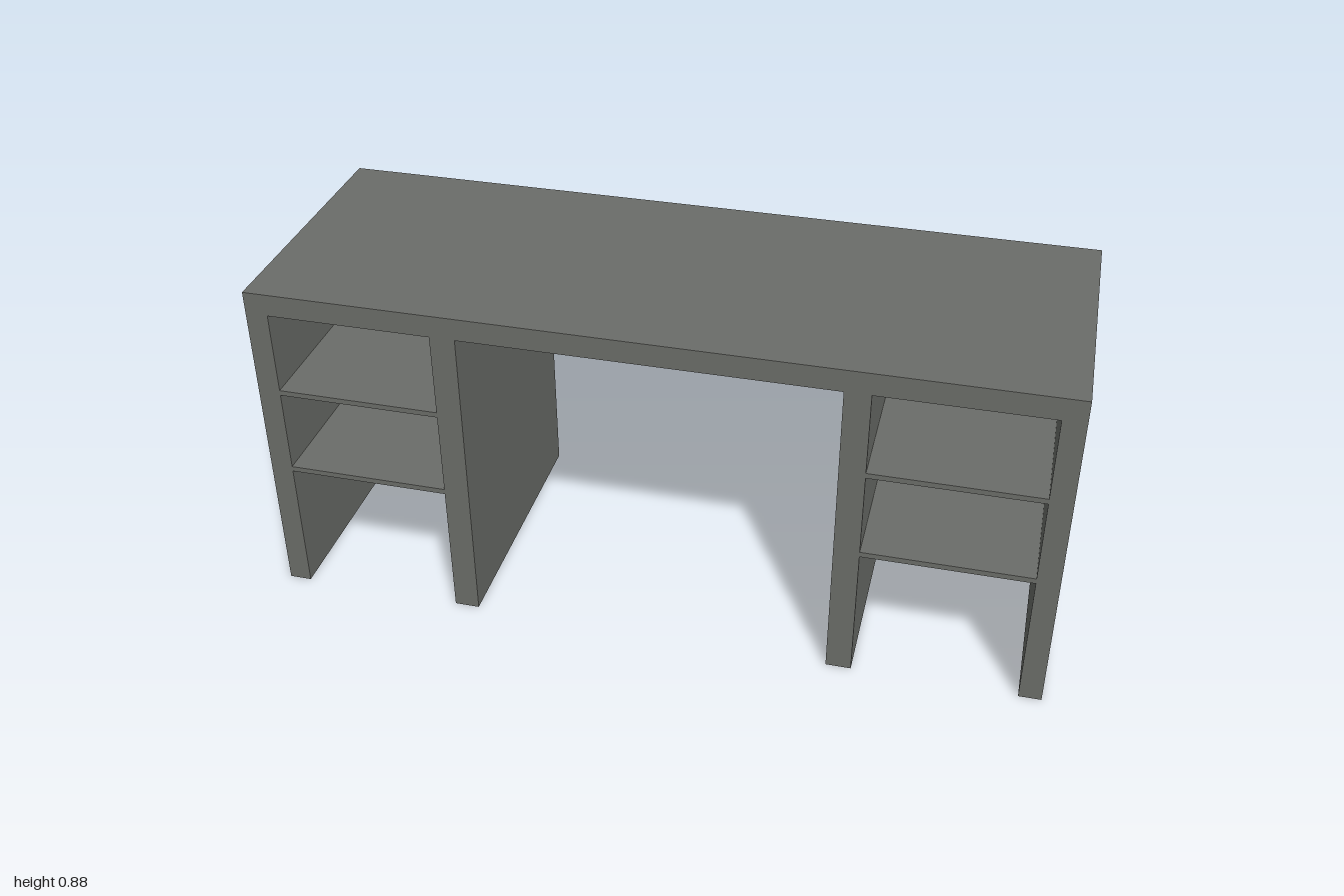
import * as THREE from 'three';

const DEPTH = 0.71;
const HEIGHT = 0.88;
const UNDERSIDE = 0.822;

export function createModel() {
  const desk = new THREE.Group();
  desk.name = 'desk';
  const grey = new THREE.MeshStandardMaterial({ color: 0x6b6d69 });
  grey.name = 'warm grey';

  // Table top and four upright panels as one seamless front profile
  const panels = [[-1, -0.943], [-0.528, -0.464], [0.462, 0.526], [0.943, 1]];
  const profile = new THREE.Shape();
  profile.moveTo(1, HEIGHT);
  profile.lineTo(-1, HEIGHT);
  panels.forEach(([left, right], i) => {
    if (i > 0) profile.lineTo(left, UNDERSIDE);
    profile.lineTo(left, 0);
    profile.lineTo(right, 0);
    if (i < panels.length - 1) profile.lineTo(right, UNDERSIDE);
  });
  profile.closePath();
  const frameGeometry = new THREE.ExtrudeGeometry(profile, { depth: DEPTH, bevelEnabled: false });
  frameGeometry.translate(0, 0, -DEPTH / 2);
  const frame = new THREE.Mesh(frameGeometry, grey);
  frame.name = 'topAndSidePanels';
  desk.add(frame);

  // Two thin shelves between each pair of panels
  for (const [side, a, b] of [['right', panels[0], panels[1]], ['left', panels[2], panels[3]]]) {
    const width = b[0] - a[1];
    for (const [level, y] of [['Lower', 0.367], ['Upper', 0.6]]) {
      const shelf = new THREE.Mesh(new THREE.BoxGeometry(width, 0.014, DEPTH), grey);
      shelf.position.set((a[1] + b[0]) / 2, y, 0);
      shelf.name = `${side}${level}Shelf`;
      desk.add(shelf);
    }
  }
  return desk;
}
